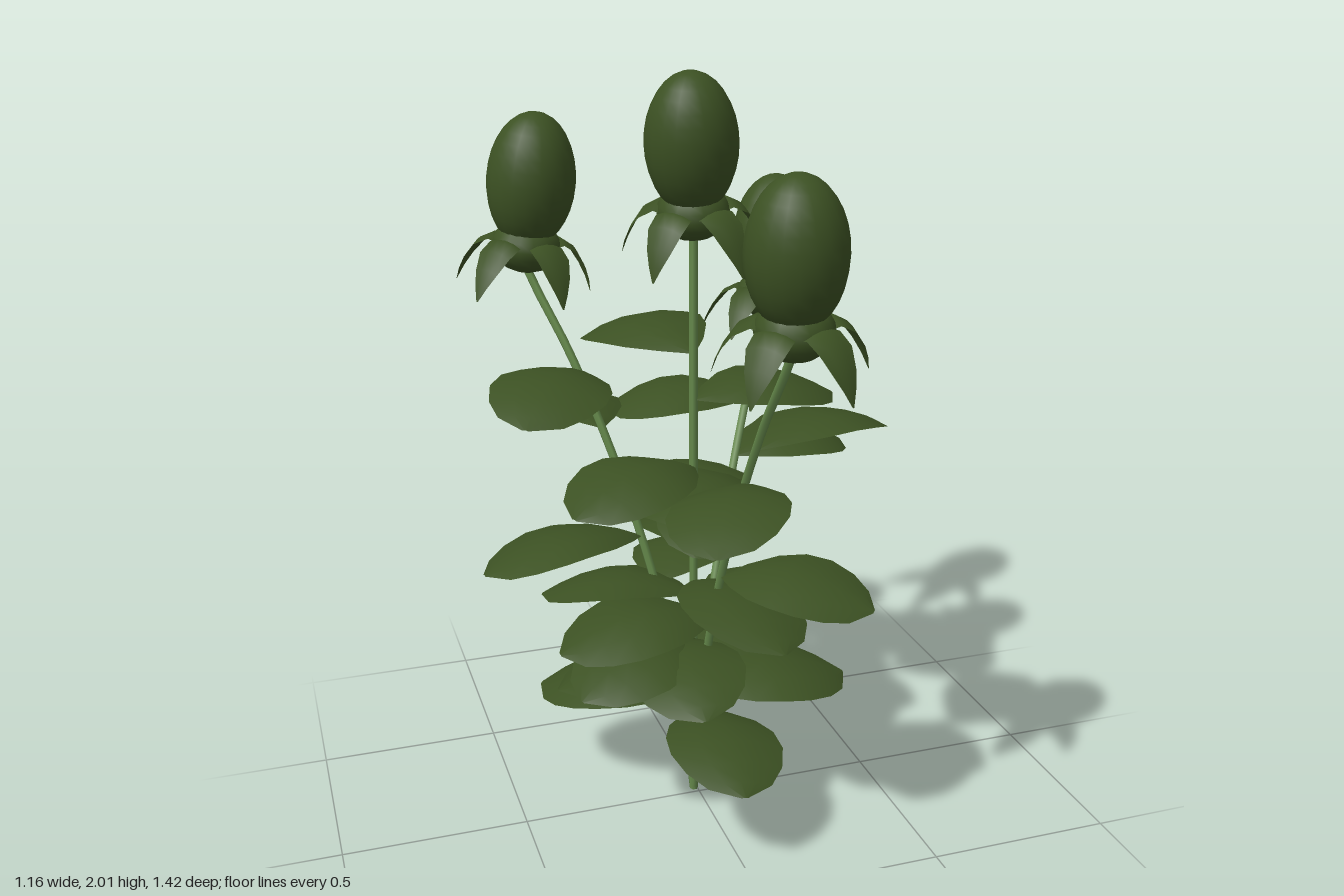
import * as THREE from 'three';

const leafGreen = new THREE.MeshStandardMaterial({ color: 0x3c5123, side: THREE.DoubleSide });
leafGreen.name = 'leaf green';
const stemGreen = new THREE.MeshStandardMaterial({ color: 0x668a4c });
stemGreen.name = 'stem green';

const V = (x, y, z) => new THREE.Vector3(x, y, z);
const rad = THREE.MathUtils.degToRad;
const ROOT = V(-0.01, 0, -0.02);

// Blade growing along +x from rows of [along, height, half width]; edges bend by droop
function bladeGeometry(rows, droop) {
  const cols = 4, pos = [], idx = [];
  rows.forEach(([x, y, hw], i) => {
    for (let j = 0; j <= cols; j++) {
      const s = (j / cols) * 2 - 1;
      pos.push(x, y - droop * s * s * hw, s * hw);
      if (i < rows.length - 1 && j < cols) {
        const a = i * (cols + 1) + j, b = a + cols + 1;
        idx.push(a, a + 1, b, b, a + 1, b + 1);
      }
    }
  });
  const g = new THREE.BufferGeometry();
  g.setAttribute('position', new THREE.Float32BufferAttribute(pos, 3));
  g.setIndex(idx);
  g.computeVertexNormals();
  return g;
}

const leafGeo = bladeGeometry([
  [0, 0, 0.006], [0.05, 0.022, 0.065], [0.12, 0.042, 0.122], [0.19, 0.05, 0.15],
  [0.26, 0.042, 0.154], [0.33, 0.02, 0.13], [0.385, -0.006, 0.085], [0.425, -0.028, 0.008],
], 0.2);

const sepalGeo = bladeGeometry([
  [0.04, 0.045, 0.035], [0.09, 0.068, 0.05], [0.13, 0.045, 0.048],
  [0.16, 0.0, 0.034], [0.178, -0.04, 0.018], [0.19, -0.08, 0.002],
], 0.25);

// Rounded cup below the bud
const cupGeo = new THREE.SphereGeometry(0.093, 16, 10);
cupGeo.scale(1, 0.75, 1);
cupGeo.translate(0, 0.042, 0);

// Egg-shaped bud
const budGeo = new THREE.SphereGeometry(1, 20, 16);
budGeo.scale(0.117, 0.178, 0.117);
budGeo.translate(0, 0.217, 0);

// Each stem: flower base, flower tip, and leaves as [height, heading in degrees, size]
const stems = [
  { base: V(-0.37, 1.485, -0.36), tip: V(-0.33, 1.88, -0.335),
    leaves: [[1.2, 121, 1], [1.05, 257, 1.03], [0.9, 35, 1], [0.755, 172, 1.06],
      [0.62, 310, 1], [0.46, 95, 1], [0.29, 215, 1]] },
  { base: V(-0.005, 1.615, -0.03), tip: V(-0.035, 2.0, 0.038),
    leaves: [[1.29, 254, 1.06], [1.165, 356, 0.95], [0.98, 151, 1], [0.86, 290, 1],
      [0.65, 77, 1.05], [0.61, 207, 1], [0.48, 150, 1], [0.315, 357, 1.09]] },
  { base: V(0.045, 1.45, 0.54), tip: V(0.03, 1.84, 0.585),
    leaves: [[1.15, 332, 1.03], [1.04, 119, 0.95], [0.88, 260, 1], [0.74, 41, 0.97],
      [0.6, 175, 1], [0.44, 310, 1], [0.28, 92, 1]] },
  { base: V(0.385, 1.255, -0.54), tip: V(0.43, 1.645, -0.575),
    leaves: [[1.03, 195, 0.95], [0.89, 343, 0.92], [0.8, 120, 1], [0.64, 262, 0.98],
      [0.5, 326, 0.93], [0.37, 180, 1], [0.235, 307, 0.98]] },
];

// Point on a stem that leans out more and more towards its top
function stemPoint(base, t) {
  const lean = 0.25 * t + 0.75 * t * t;
  return V(
    ROOT.x + (base.x - ROOT.x) * lean,
    base.y * t,
    ROOT.z + (base.z - ROOT.z) * lean,
  );
}

function add(parent, geo, mat, name) {
  const m = new THREE.Mesh(geo, mat);
  m.name = name;
  parent.add(m);
  return m;
}

function makeFlower(base, tip) {
  const flower = new THREE.Group();
  flower.name = 'flowerBud';
  add(flower, cupGeo, leafGreen, 'cup');
  add(flower, budGeo, leafGreen, 'bud');
  for (let i = 0; i < 5; i++) {
    add(flower, sepalGeo, leafGreen, 'sepal').rotation.y = -rad(-4 + i * 72);
  }
  flower.position.copy(base);
  flower.quaternion.setFromUnitVectors(V(0, 1, 0), tip.clone().sub(base).normalize());
  return flower;
}

export function createModel() {
  const plant = new THREE.Group();
  plant.name = 'buddingPlant';
  for (const { base, tip, leaves } of stems) {
    const branch = new THREE.Group();
    branch.name = 'branch';
    plant.add(branch);

    // Stem, ending inside the cup
    const points = Array.from({ length: 7 }, (_, i) => stemPoint(base, i / 6));
    points.push(base.clone().lerp(tip, 0.1));
    const curve = new THREE.CatmullRomCurve3(points);
    add(branch, new THREE.TubeGeometry(curve, 24, 0.012, 6), stemGreen, 'stem');

    // Leaves with a slight alternating roll
    leaves.forEach(([y, heading, size], i) => {
      const leaf = add(branch, leafGeo, leafGreen, 'leaf');
      leaf.position.copy(stemPoint(base, y / base.y));
      leaf.rotation.set(i % 2 ? 0.1 : -0.1, -rad(heading), 0, 'YXZ');
      leaf.scale.setScalar(size);
    });

    branch.add(makeFlower(base, tip));
  }
  return plant;
}
